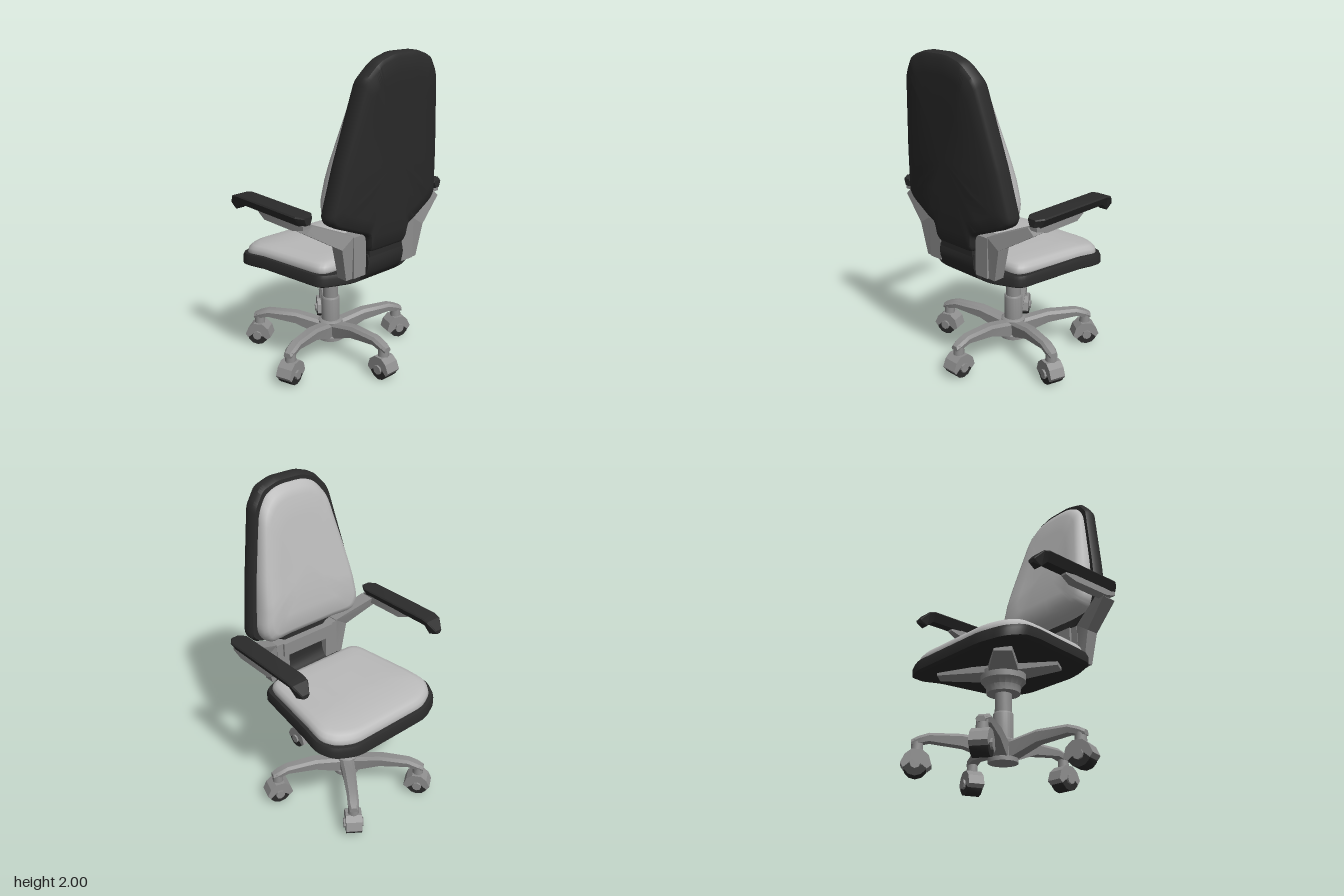
import * as THREE from 'three';
import { toCreasedNormals } from 'three/addons/utils/BufferGeometryUtils.js';

const V = (x, y, z) => new THREE.Vector3(x, y, z);
const mat = (name, color) => new THREE.MeshStandardMaterial({ name, color });

// Closed solid through rings of points; faces are turned outward by signed volume
function loft(rings, crease = 0.6) {
  const tris = [];
  const n = rings[0].length;
  for (let i = 0; i + 1 < rings.length; i++) {
    for (let j = 0; j < n; j++) {
      const k = (j + 1) % n;
      const [a, b, c, d] = [rings[i][j], rings[i][k], rings[i + 1][k], rings[i + 1][j]];
      tris.push([a, b, c], [a, c, d]);
    }
  }
  const cap = (ring, flip) => {
    const m = ring.reduce((s, p) => s.add(p), V(0, 0, 0)).divideScalar(n);
    ring.forEach((p, j) => {
      const q = ring[(j + 1) % n];
      tris.push(flip ? [m, q, p] : [m, p, q]);
    });
  };
  cap(rings[0], true);
  cap(rings[rings.length - 1], false);
  const volume = tris.reduce((s, [a, b, c]) => s + a.dot(b.clone().cross(c)), 0);
  const pts = tris.flatMap(([a, b, c]) => (volume < 0 ? [a, c, b] : [a, b, c]));
  return toCreasedNormals(new THREE.BufferGeometry().setFromPoints(pts), crease);
}

// Mirror half an outline [along, across], round its corners and subdivide its edges
function outline(half, r) {
  const all = [...half, ...half.slice().reverse().map(([a, b]) => [a, -b])].map(p => new THREE.Vector2(...p));
  const out = [];
  all.forEach((p, i) => {
    const prev = all[(i + all.length - 1) % all.length];
    const next = all[(i + 1) % all.length];
    const toward = q => p.clone().lerp(q, Math.min(0.4, r / p.distanceTo(q)));
    const a = toward(prev), b = toward(next);
    out.push(...new THREE.QuadraticBezierCurve(a, p, b).getPoints(4));
    const e = next.clone().lerp(p, Math.min(0.4, r / p.distanceTo(next)));
    for (let t = 1; t < 6; t++) out.push(b.clone().lerp(e, t / 6));
  });
  return out;
}

// Padded slab: scaled copies of an outline at given heights, bent by a rule
function slab(half, r, centre, layers, bend, crease) {
  const pts = outline(half, r);
  return loft(layers.map(([s, h]) => pts.map(p => bend(centre + (p.x - centre) * s, p.y * s, h))), crease);
}

export function createModel() {
  const black = mat('blackShell', 0x2b2b2b);
  const fabric = mat('lightGreyFabric', 0xbababa);
  const grey = mat('greyFrame', 0x8e8e8e);
  const model = new THREE.Group();
  model.name = 'officeChair';
  const add = (name, geo, m, parent = model) => {
    const mesh = new THREE.Mesh(geo, m);
    mesh.name = name;
    parent.add(mesh);
    return mesh;
  };
  const box = (name, w, h, d, x, y, z, m) =>
    add(name, new THREE.BoxGeometry(w, h, d), m).position.set(x, y, z);
  const CX = -0.07;

  // Seat, with a front edge that curls down
  const droop = x => -0.05 * Math.pow(Math.max(0, (-0.2 - x) / 0.3), 1.5);
  add('seatShell', slab(
    [[-0.5, 0.28], [-0.44, 0.42], [-0.34, 0.475], [0.27, 0.39], [0.35, 0.2]], 0.05, -0.08,
    [[0.4, 0.652], [0.7, 0.652], [0.95, 0.652], [1, 0.667], [1, 0.71], [0.98, 0.732], [0.7, 0.735]],
    (x, z, h) => V(x, h + droop(x), z)), black);
  add('seatCushion', slab(
    [[-0.47, 0.28], [-0.42, 0.39], [-0.34, 0.445], [0.22, 0.37], [0.265, 0.33]], 0.06, -0.1,
    [[0.9, 0.7], [0.985, 0.715], [1, 0.74], [0.985, 0.765], [0.94, 0.783], [0.86, 0.79], [0.6, 0.791], [0.3, 0.791]],
    (x, z, h) => V(x, h + droop(x) * 0.8 + 0.02 * x, z), 1.2), fabric);

  // Backrest, leaning back with its wings turned forward
  const rear = y => 0.46 + (y - 1.1) * 0.1;
  const wing = z => Math.max(0, Math.abs(z) - 0.2) / 0.23;
  add('backrestShell', slab(
    [[2.0, 0.09], [1.965, 0.2], [1.87, 0.28], [1.4, 0.38], [1.1, 0.43], [1.06, 0.39], [0.97, 0.16], [0.86, 0.145]], 0.03, 1.4,
    [[0.5, 0.006], [0.8, 0.004], [0.95, 0], [0.985, -0.012], [1, -0.035], [1, -0.075], [0.97, -0.1], [0.7, -0.1]],
    (y, z, d) => V(rear(y) - 0.05 * wing(z) + d, y, z)), black);
  add('backrestCushion', slab(
    [[1.965, 0.09], [1.93, 0.18], [1.84, 0.25], [1.4, 0.345], [1.13, 0.385], [1.05, 0.34]], 0.06, 1.45,
    [[0.9, 0.3], [0.99, 0.38], [1, 0.6], [0.98, 0.8], [0.93, 0.93], [0.85, 1], [0.6, 1], [0.3, 1]],
    (y, z, t) => {
      const deep = THREE.MathUtils.mapLinear(THREE.MathUtils.clamp(y, 1.3, 1.95), 1.3, 1.95, 0.222, 0.145);
      return V(rear(y) - 0.03 * wing(z) - t * deep, y, z);
    }, 1.2), fabric);

  // Curved spine joining the seat to the backrest
  const spine = new THREE.Shape();
  spine.moveTo(0.26, 0.665);
  spine.lineTo(0.34, 0.665);
  spine.quadraticCurveTo(0.41, 0.69, 0.42, 0.8);
  spine.lineTo(0.41, 0.845);
  spine.lineTo(0.35, 0.845);
  spine.quadraticCurveTo(0.35, 0.74, 0.26, 0.725);
  const spineGeo = new THREE.ExtrudeGeometry(spine, { depth: 0.29, bevelEnabled: false, curveSegments: 5 });
  add('spine', toCreasedNormals(spineGeo.translate(0, 0, -0.145), 0.6), black);
  box('spineUpper', 0.06, 0.2, 0.27, 0.385, 0.93, 0, black);
  box('crossBar', 0.07, 0.09, 0.4, 0.335, 0.93, 0, grey);

  // Armrests
  const section = ([x, y, z, ux, uy, vy, vz], s) => [[1, 1], [1, -1], [-1, -1], [-1, 1]]
    .map(([a, b]) => V(x + a * ux, y + a * uy + b * vy, s * (z + b * vz)));
  for (const s of [1, -1]) {
    const side = s > 0 ? 'left' : 'right';
    box(side + 'Bracket', 0.09, 0.25, 0.095, 0.36, 0.85, s * 0.2, grey);
    add(side + 'ArmPost', loft([
      [0.355, 0.72, 0.265, 0.035, 0, 0, 0.028],
      [0.36, 0.95, 0.29, 0.042, 0, -0.03, 0.045],
      [0.29, 1.067, 0.52, 0.05, 0, -0.02, 0.022],
    ].map(p => section(p, s)), 0.3), grey);
    add(side + 'ArmRail', loft([
      [-0.08, 1.085, 0.528, 0, 0.008, 0, 0.018],
      [-0.01, 1.075, 0.528, 0, 0.025, 0, 0.03],
      [0.25, 1.075, 0.528, 0, 0.025, 0, 0.032],
      [0.33, 1.085, 0.528, 0, 0.012, 0, 0.028],
    ].map(p => section(p, s)), 0.3), grey);
    // Pad rings: x, top, bottom, half width
    add(side + 'ArmPad', loft([
      [-0.335, 1.085, 1.06, 0.025], [-0.285, 1.138, 1.048, 0.056], [-0.24, 1.15, 1.09, 0.06],
      [0.3, 1.15, 1.09, 0.06], [0.345, 1.145, 1.1, 0.027],
    ].map(([x, t, b, w]) => [[t - 0.008, 1], [b, 0.5], [b, -0.5], [t - 0.008, -1], [t, -0.9], [t, 0.9]]
      .map(([y, k]) => V(x, y, s * 0.53 + k * w))), 0.3), black);
  }

  // Cross plate under the seat
  for (const sx of [1, -1]) for (const sz of [1, -1]) {
    const tip = V(-0.11 + sx * 0.22, sx > 0 ? 0.645 : 0.63, sz * 0.29);
    const root = V(CX, 0.635, 0);
    const across = V(-(tip.z - root.z), 0, tip.x - root.x).normalize();
    const ring = (c, w, h) => [[w, h], [w, -h], [-w, -h], [-w, h]]
      .map(([a, b]) => c.clone().addScaledVector(across, a).add(V(0, b, 0)));
    add('mountArm', loft([ring(root, 0.1, 0.028), ring(tip, 0.05, 0.015)], 0.3), grey);
  }

  // Turned column, with the wide collar at the top
  const lathe = (name, pts) => {
    const g = new THREE.LatheGeometry(pts.map(p => new THREE.Vector2(...p)), 20);
    add(name, toCreasedNormals(g, 0.6), grey).position.x = CX;
  };
  lathe('mountCollar', [[0, 0.5], [0.1, 0.5], [0.105, 0.54], [0.135, 0.575], [0.135, 0.63], [0, 0.64]]);
  lathe('gasLift', [[0.05, 0.36], [0.05, 0.52]]);
  lathe('columnSleeve', [[0, 0.15], [0.06, 0.15], [0.06, 0.375], [0.054, 0.385], [0, 0.385]]);
  lathe('baseHub', [[0, 0.09], [0.088, 0.09], [0.088, 0.115], [0.075, 0.12], [0.08, 0.215], [0.065, 0.225], [0, 0.225]]);

  // Five legs with casters; local x points outward
  const hood = new THREE.Shape([[-0.085, 0.06], [-0.068, 0.115], [-0.03, 0.148], [0.03, 0.148], [0.065, 0.12],
    [0.088, 0.07], [0.07, 0.045], [0.035, 0.075], [-0.035, 0.06], [-0.06, 0.04]].map(p => new THREE.Vector2(...p)));
  const hoodGeo = new THREE.ExtrudeGeometry(hood, { depth: 0.1, bevelEnabled: false }).translate(0, 0, -0.05);
  const wheelGeo = toCreasedNormals(new THREE.CylinderGeometry(0.07, 0.07, 0.096, 12).rotateX(Math.PI / 2), 0.6);
  const capGeo = toCreasedNormals(new THREE.CylinderGeometry(0.03, 0.03, 0.124, 8).rotateX(Math.PI / 2), 0.6);
  const stemGeo = toCreasedNormals(new THREE.CylinderGeometry(0.032, 0.036, 0.08, 12), 0.6);
  // Leg rings: distance, bottom, top, half width
  const legGeo = loft([
    [0.03, 0.11, 0.215, 0.05], [0.08, 0.115, 0.215, 0.046], [0.23, 0.175, 0.248, 0.042],
    [0.42, 0.2, 0.25, 0.036], [0.48, 0.185, 0.23, 0.036], [0.52, 0.18, 0.21, 0.026],
  ].map(([r, b, t, w]) => [[b, 0.85], [t - 0.018, 1], [t, 0.6], [t, -0.6], [t - 0.018, -1], [b, -0.85]]
    .map(([y, k]) => V(r, y, k * w))), 0.4);
  for (let i = 0; i < 5; i++) {
    const leg = new THREE.Group();
    leg.name = 'baseLeg';
    leg.position.x = CX;
    leg.rotation.y = (i * Math.PI * 2) / 5;
    model.add(leg);
    add('legBeam', legGeo, grey, leg);
    add('casterStem', stemGeo, grey, leg).position.set(0.485, 0.17, 0);
    add('casterHood', hoodGeo, grey, leg).position.x = 0.485;
    add('casterWheel', wheelGeo, black, leg).position.set(0.49, 0.07, 0);
    add('casterCap', capGeo, grey, leg).position.set(0.49, 0.068, 0);
  }
  return model;
}
